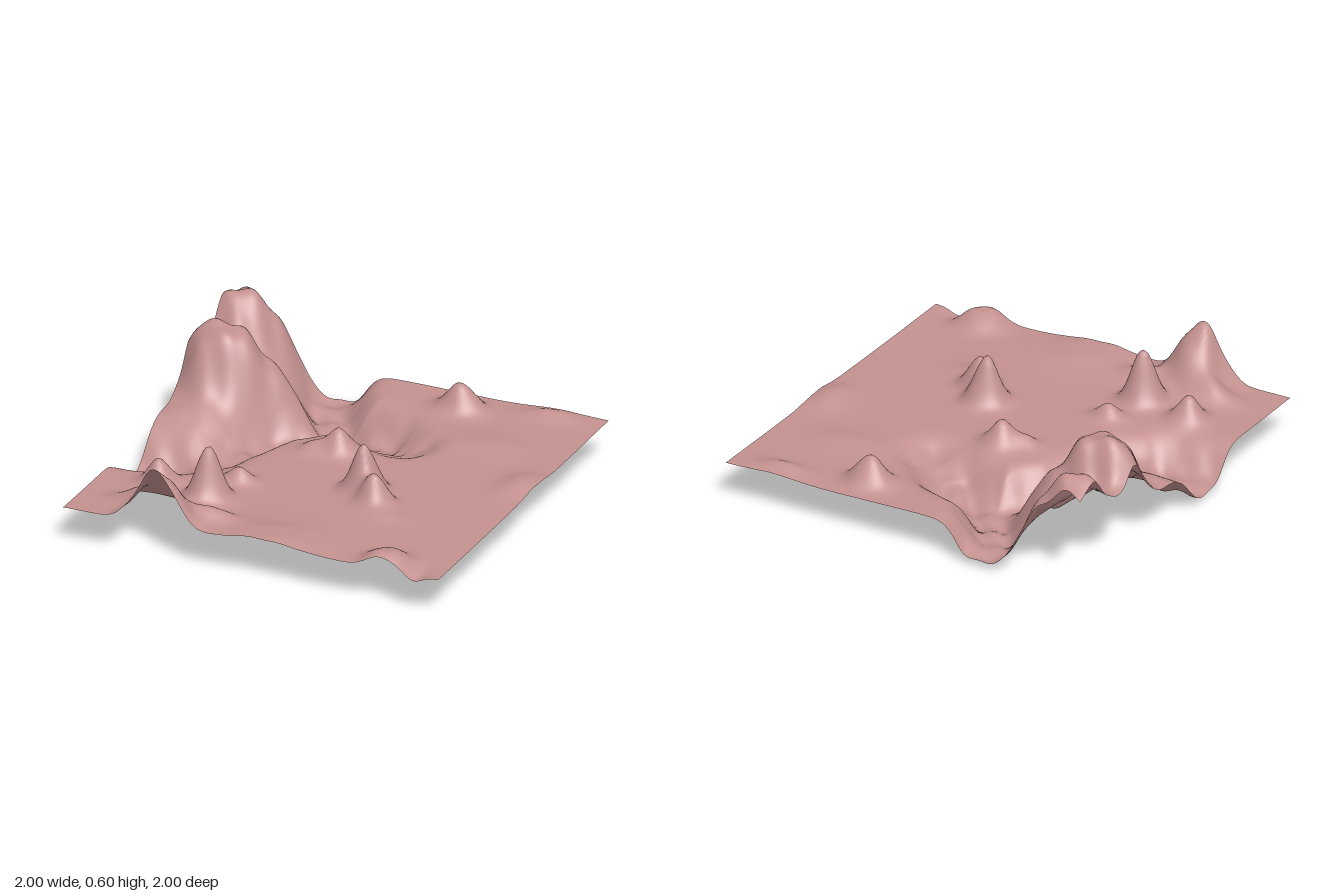
import * as THREE from 'three';

const BASE = 0.218;

// Hills: x, z, height, radius x, radius z, sharpness
const hills = [
  // twin mountains and their foothills
  [-0.81, -0.46, 0.39, 0.21, 0.18, 2.6],
  [-0.92, -0.9, 0.36, 0.24, 0.22, 3],
  [-1.0, -0.55, 0.1, 0.12, 0.14, 2],
  [-0.85, -0.17, 0.05, 0.2, 0.11, 2],
  [-0.5, -0.52, 0.1, 0.16, 0.1, 2],
  [-0.62, -0.62, 0.07, 0.12, 0.1, 2],
  // lone peaks
  [0.25, 0.22, 0.25, 0.08, 0.08, 2],
  [0.36, 0.34, 0.15, 0.08, 0.075, 2],
  [-0.04, -0.14, 0.12, 0.08, 0.08, 2],
  [-0.16, -0.1, 0.05, 0.07, 0.06, 2],
  [0.29, -0.82, 0.15, 0.1, 0.08, 2],
  [-0.4, 0.61, 0.27, 0.08, 0.08, 2],
  [-0.35, 0.37, 0.07, 0.08, 0.06, 2],
  [-0.69, 0.55, 0.12, 0.08, 0.08, 2],
  // front ridge
  [-0.51, 0.98, 0.27, 0.15, 0.17, 2.4],
  [-0.68, 0.8, 0.08, 0.12, 0.07, 2],
  [-0.27, 0.82, 0.06, 0.1, 0.06, 2],
  [0.7, 0.93, 0.07, 0.13, 0.12, 3],
  [0.06, 0.92, 0.04, 0.25, 0.2, 2],
  // gentle swells
  [0.72, -0.92, 0.035, 0.14, 0.07, 2],
  [0.6, -0.5, 0.02, 0.2, 0.12, 2],
  [0.92, -0.14, 0.035, 0.1, 0.14, 2],
  [0.45, 0.45, 0.02, 0.12, 0.08, 2],
  // shallow dip on the front edge
  [0.86, 1.0, -0.035, 0.07, 0.12, 2],
];

// Valley floors: x, z, depth, half width
const valleys = [
  [[-1, 0.2, 0.17, 0.19], [-0.78, 0.19, 0.165, 0.18], [-0.63, 0.1, 0.1, 0.16],
    [-0.54, -0.1, 0.11, 0.14], [-0.47, -0.29, 0.15, 0.14], [-0.27, -0.58, 0.205, 0.17],
    [-0.4, -0.8, 0.175, 0.16], [-0.45, -1, 0.17, 0.17]],
  [[-0.27, -0.58, 0.205, 0.17], [0, -0.5, 0.155, 0.17], [0.18, -0.4, 0.08, 0.16], [0.34, -0.33, 0, 0.12]],
];

// Depth of a valley at a point, from its nearest stretch of floor
function valleyDepth(path, x, z) {
  let deepest = 0;
  for (let i = 0; i + 1 < path.length; i++) {
    const a = path[i], b = path[i + 1];
    const dx = b[0] - a[0], dz = b[1] - a[1];
    const t = THREE.MathUtils.clamp(((x - a[0]) * dx + (z - a[1]) * dz) / (dx * dx + dz * dz), 0, 1);
    const distance = Math.hypot(x - a[0] - dx * t, z - a[1] - dz * t);
    const width = THREE.MathUtils.lerp(a[3], b[3], t);
    const depth = THREE.MathUtils.lerp(a[2], b[2], t) * Math.exp(-Math.pow(distance / width, 3));
    deepest = Math.max(deepest, depth);
  }
  return deepest;
}

function heightAt(x, z) {
  let y = BASE;
  for (const [hx, hz, h, rx, rz, p] of hills) {
    y += h * Math.exp(-Math.pow(Math.hypot((x - hx) / rx, (z - hz) / rz), p));
  }
  y -= Math.max(...valleys.map((path) => valleyDepth(path, x, z)));
  // ruggedness, strongest on the mountains and in the valleys
  const rough = Math.min(0.022, Math.abs(y - BASE) * 0.09);
  y += rough * (Math.sin(19 * x + 11 * z) * Math.sin(23 * z - 7 * x) + 0.5 * Math.sin(37 * x - 29 * z));
  return y + 0.003 * Math.sin(7 * x + 2) * Math.sin(6 * z + 1);
}

export function createModel() {
  const group = new THREE.Group();
  group.name = 'landscape';

  // Open sheet displaced into mountains, peaks and valleys
  const geometry = new THREE.PlaneGeometry(2, 2, 140, 140).rotateX(-Math.PI / 2);
  const position = geometry.attributes.position;
  for (let i = 0; i < position.count; i++) {
    position.setY(i, heightAt(position.getX(i), position.getZ(i)));
  }
  geometry.computeBoundingBox();
  geometry.translate(0, -geometry.boundingBox.min.y, 0);
  geometry.computeVertexNormals();

  const material = new THREE.MeshStandardMaterial({ color: 0xc49290, side: THREE.DoubleSide });
  const terrain = new THREE.Mesh(geometry, material);
  terrain.name = 'terrain';
  group.add(terrain);
  return group;
}
